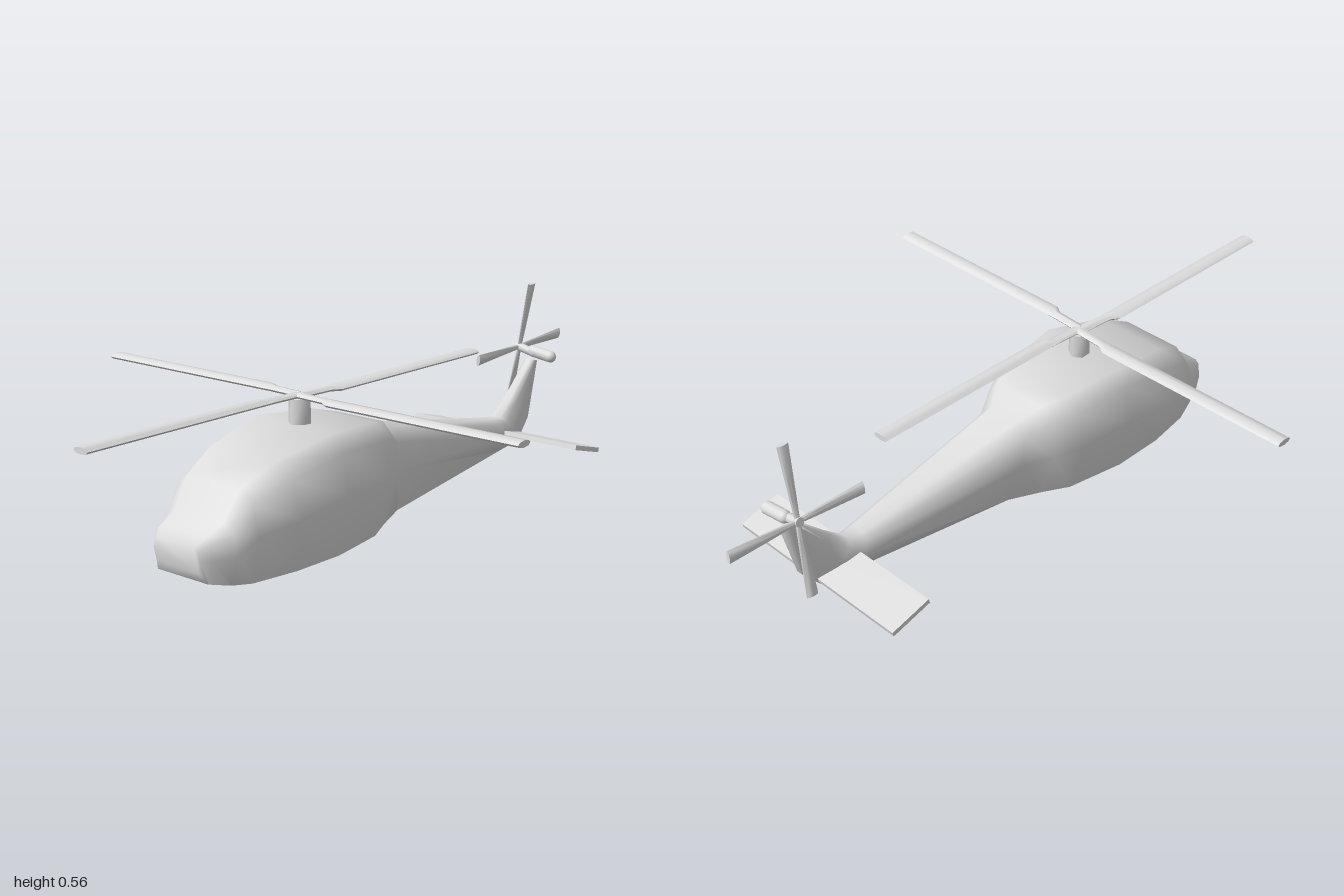
import * as THREE from 'three';
import { toCreasedNormals } from 'three/addons/utils/BufferGeometryUtils.js';

// Skin a list of rings (each counter-clockwise seen from the first end), with both ends closed.
function loft(rings, crease) {
  const n = rings[0].length;
  const pos = [], idx = [];
  rings.forEach(r => r.forEach(p => pos.push(...p)));
  for (let i = 0; i < rings.length - 1; i++) {
    for (let j = 0; j < n; j++) {
      const k = (j + 1) % n;
      const a = i * n + j, b = i * n + k, c = b + n, d = a + n;
      idx.push(a, d, b, d, c, b);
    }
  }
  const last = (rings.length - 1) * n;
  for (let j = 1; j < n - 1; j++) {
    idx.push(0, j, j + 1, last, last + j + 1, last + j);
  }
  const g = new THREE.BufferGeometry();
  g.setAttribute('position', new THREE.Float32BufferAttribute(pos, 3));
  g.setIndex(idx);
  return toCreasedNormals(g, crease);
}

// Fuselage section: keel z, y; roof z, y; half-widths at keel, middle, shoulder, roof.
function section([zb, yb, zt, yt, ...widths]) {
  const levels = [0, 0.52, 0.85, 1];
  const left = widths.map((w, i) => [
    w,
    yb + (yt - yb) * levels[i],
    zb + (zt - zb) * levels[i],
  ]);
  const right = left.map(([x, y, z]) => [-x, y, z]).reverse();
  return [...left, ...right];
}

// Rotor blade along +x, from flattened eight-sided sections [x, z centre, width, thickness], tip first.
function bladeGeometry(stations) {
  const rings = stations.map(([x, zc, w, t]) => {
    const ring = [];
    for (let i = 0; i < 8; i++) {
      const a = (i / 8) * Math.PI * 2;
      ring.push([x, -Math.sin(a) * t / 2, zc + Math.cos(a) * w / 2]);
    }
    return ring;
  });
  return loft(rings, 1.0);
}

export function createModel() {
  const model = new THREE.Group();
  model.name = 'helicopter';
  const grey = new THREE.MeshStandardMaterial({ color: 0xdddddd });
  grey.name = 'light grey';
  const add = (parent, name, geometry, x = 0, y = 0, z = 0) => {
    const mesh = new THREE.Mesh(geometry, grey);
    mesh.name = name;
    mesh.position.set(x, y, z);
    parent.add(mesh);
    return mesh;
  };

  // Body, tail boom and upswept fin in one skin, nose to fin tip
  const sections = [
    [0.722, 0.05, 0.727, 0.115, 0.075, 0.082, 0.078, 0.065],
    [0.705, 0.02, 0.7, 0.138, 0.09, 0.102, 0.098, 0.08],
    [0.645, 0.005, 0.645, 0.163, 0.11, 0.135, 0.12, 0.085],
    [0.59, 0, 0.59, 0.24, 0.13, 0.155, 0.135, 0.095],
    [0.45, 0, 0.487, 0.29, 0.152, 0.195, 0.16, 0.115],
    [0.29, 0, 0.29, 0.33, 0.154, 0.19, 0.17, 0.14],
    [0.11, 0.002, 0.1, 0.317, 0.125, 0.172, 0.152, 0.115],
    [0.03, 0.008, 0.03, 0.3, 0.09, 0.138, 0.12, 0.085],
    [-0.07, 0.017, -0.03, 0.263, 0.055, 0.092, 0.085, 0.05],
    [-0.6, 0.07, -0.57, 0.175, 0.02, 0.048, 0.04, 0.02],
    [-0.71, 0.08, -0.61, 0.172, 0.012, 0.032, 0.032, 0.016],
    [-0.765, 0.145, -0.67, 0.223, 0.01, 0.024, 0.024, 0.012],
    [-0.81, 0.315, -0.775, 0.325, 0.008, 0.016, 0.016, 0.008],
  ];
  add(model, 'fuselage', loft(sections.map(section), 1.25));

  // Tilted horizontal tail plane
  const tailPlane = add(model, 'tailPlane',
    new THREE.BoxGeometry(0.6, 0.014, 0.128), 0, 0.115, -0.657);
  tailPlane.rotation.x = -0.26;

  // Main rotor: six-sided mast and four offset blades
  const mainRotor = new THREE.Group();
  mainRotor.name = 'mainRotor';
  mainRotor.position.set(0, 0.404, 0.27);
  model.add(mainRotor);
  add(mainRotor, 'mast',
    toCreasedNormals(new THREE.CylinderGeometry(0.03, 0.03, 0.09, 6), 1.1), 0, -0.052, 0);
  const mainBlade = bladeGeometry([
    [0.73, 0.018, 0.05, 0.018],
    [0.125, 0.018, 0.05, 0.018],
    [0.1, 0.01, 0.032, 0.016],
    [0, 0.004, 0.032, 0.016],
  ]);
  for (let i = 0; i < 4; i++) {
    add(mainRotor, 'mainBlade', mainBlade).rotation.y = i * Math.PI / 2;
  }

  // Gearbox pod at the fin tip
  const pod = add(model, 'tailGearbox', new THREE.CapsuleGeometry(0.018, 0.066, 5, 12), 0.034, 0.342, -0.795);
  pod.rotation.z = Math.PI / 2 - 0.15;

  // Canted tail rotor on the right of the fin
  const tailRotor = new THREE.Group();
  tailRotor.name = 'tailRotor';
  tailRotor.position.set(-0.046, 0.355, -0.79);
  tailRotor.rotation.z = -0.23;
  model.add(tailRotor);
  const axle = add(tailRotor, 'tailAxle', new THREE.CylinderGeometry(0.013, 0.013, 0.07, 10), 0.025);
  axle.rotation.z = Math.PI / 2;
  const tailBlade = bladeGeometry([
    [0.21, 0, 0.036, 0.014],
    [0.06, 0, 0.022, 0.013],
    [0, 0, 0.014, 0.012],
  ]);
  // Turn the blade span from x to z, with its chord in the disc
  tailBlade.rotateX(Math.PI / 2);
  tailBlade.rotateY(Math.PI / 2);
  for (let i = 0; i < 4; i++) {
    add(tailRotor, 'tailBlade', tailBlade).rotation.x = i * Math.PI / 2 + 0.05;
  }
  return model;
}
